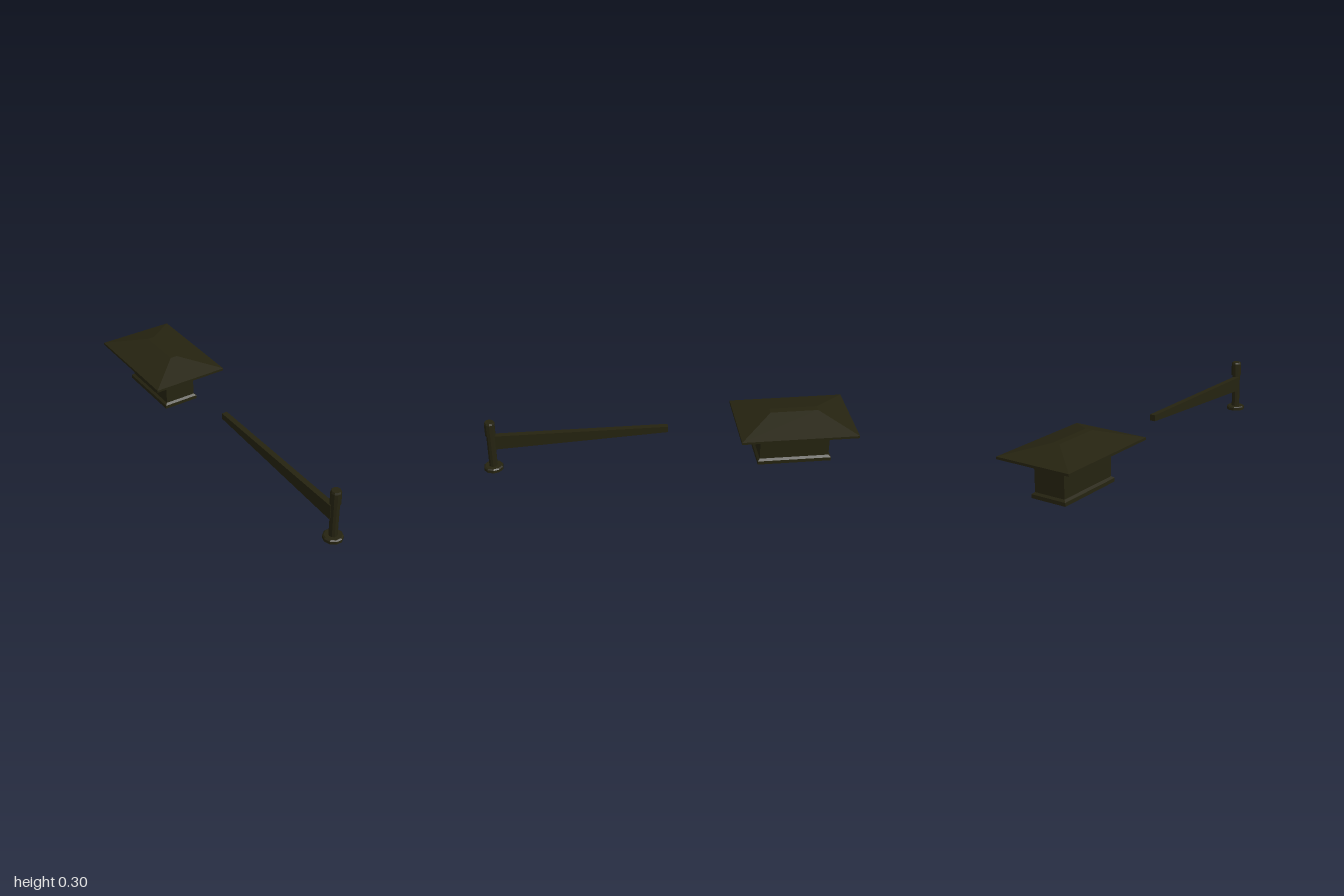
import * as THREE from 'three';

const darkOlive = new THREE.MeshStandardMaterial({ color: 0x252310, flatShading: true });
darkOlive.name = 'darkOlive';

// Solid through rectangular rings, each { y, x: half width, z: half depth }, bottom to top
function rectLoft(rings) {
  const pos = [];
  const index = [];
  for (const { y, x, z } of rings) pos.push(-x, y, z, x, y, z, x, y, -z, -x, y, -z);
  for (let r = 0; r < rings.length - 1; r++) {
    for (let i = 0; i < 4; i++) {
      const a = r * 4 + i, b = r * 4 + (i + 1) % 4;
      index.push(a, b, b + 4, a, b + 4, a + 4);
    }
  }
  const t = (rings.length - 1) * 4;
  index.push(0, 2, 1, 0, 3, 2, t, t + 1, t + 2, t, t + 2, t + 3);
  const geo = new THREE.BufferGeometry();
  geo.setAttribute('position', new THREE.Float32BufferAttribute(pos, 3));
  geo.setIndex(index);
  const flat = geo.toNonIndexed();
  flat.computeVertexNormals();
  return flat;
}

// Ten-sided turned part from [radius, y] pairs, bottom to top
function turned(points) {
  const geo = new THREE.LatheGeometry(points.map(([r, y]) => new THREE.Vector2(r, y)), 10);
  return geo.rotateY(Math.PI / 2);
}

function add(parent, name, geo) {
  const mesh = new THREE.Mesh(geo, darkOlive);
  mesh.name = name;
  parent.add(mesh);
  return mesh;
}

export function createModel() {
  const model = new THREE.Group();
  model.name = 'gateBarrierAndBooth';

  // Booth with chamfered plinth and wide hipped roof
  const booth = new THREE.Group();
  booth.name = 'booth';
  booth.position.z = -0.684;
  model.add(booth);
  add(booth, 'plinth', rectLoft([
    { y: 0, x: 0.103, z: 0.203 },
    { y: 0.02, x: 0.103, z: 0.203 },
    { y: 0.03, x: 0.09, z: 0.191 },
  ]));
  add(booth, 'walls', rectLoft([
    { y: 0.03, x: 0.09, z: 0.191 },
    { y: 0.212, x: 0.09, z: 0.191 },
  ]));
  add(booth, 'roof', rectLoft([
    { y: 0.211, x: 0.217, z: 0.316 },
    { y: 0.224, x: 0.217, z: 0.316 },
    { y: 0.278, x: 0.02, z: 0.131 },
  ]));

  // Post with round foot and bevelled cap
  const post = new THREE.Group();
  post.name = 'post';
  post.position.set(-0.006, 0, 0.949);
  model.add(post);
  add(post, 'foot', turned([[0, 0.007], [0.053, 0.007], [0.053, 0.023], [0.046, 0.029], [0, 0.029]]));
  add(post, 'shaft', turned([[0, 0.027], [0.023, 0.027], [0.023, 0.224], [0, 0.224]]));
  add(post, 'cap', turned([[0, 0.222], [0.0285, 0.222], [0.0285, 0.292], [0.024, 0.302], [0, 0.302]]));

  // Tapered swing arm reaching back from the post
  const side = new THREE.Shape([
    new THREE.Vector2(0, 0.178), new THREE.Vector2(0.945, 0.129),
    new THREE.Vector2(0.945, 0.212), new THREE.Vector2(0, 0.212),
  ]);
  const armGeo = new THREE.ExtrudeGeometry(side, { depth: 0.031, bevelEnabled: false });
  armGeo.rotateY(-Math.PI / 2);
  add(model, 'arm', armGeo);

  return model;
}
